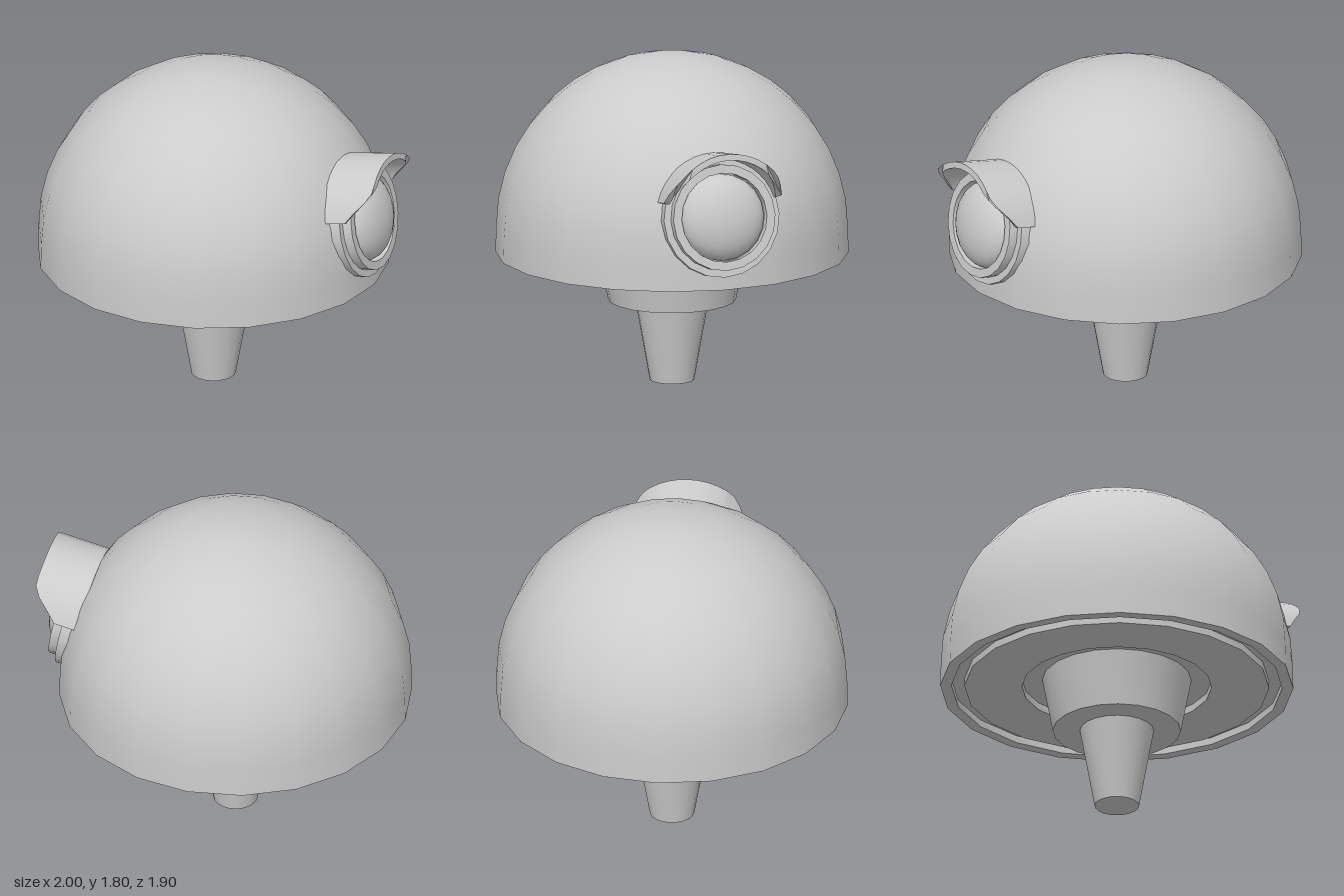
import * as THREE from 'three';
import { toCreasedNormals } from 'three/addons/utils/BufferGeometryUtils.js';

const material = new THREE.MeshStandardMaterial({ color: 0xcccccc });
const SIDES = 20;

function part(name, geometry) {
  const mesh = new THREE.Mesh(toCreasedNormals(geometry, 0.6), material);
  mesh.name = name;
  return mesh;
}

// Revolved part; the profile runs from the bottom, outward and up
function turned(name, points) {
  return part(name, new THREE.LatheGeometry(points.map(([r, y]) => new THREE.Vector2(r, y)), SIDES));
}

// Curved hood over the eye: an extruded arc whose front edge sweeps back at both ends
function hood() {
  const outer = 0.347, inner = 0.313, end = 1.28, steps = 16, back = -0.106;
  const points = [];
  for (let i = 0; i <= steps; i++) {
    const t = -end + (2 * end * i) / steps;
    points.push(new THREE.Vector2(outer * Math.sin(t), outer * Math.cos(t)));
  }
  for (let i = steps; i >= 0; i--) {
    const t = -end + (2 * end * i) / steps;
    points.push(new THREE.Vector2(inner * Math.sin(t), inner * Math.cos(t)));
  }
  const geometry = new THREE.ExtrudeGeometry(new THREE.Shape(points), { depth: 1, steps: 1, bevelEnabled: false });
  const pos = geometry.attributes.position;
  for (let i = 0; i < pos.count; i++) {
    const front = 0.01 + 0.17 * THREE.MathUtils.smoothstep(pos.getY(i), 0.07, 0.26);
    pos.setZ(i, back + pos.getZ(i) * (front - back));
  }
  const mesh = part('eyeHood', geometry);
  mesh.rotation.y = Math.PI / 2;
  return mesh;
}

function createEye() {
  const eye = new THREE.Group();
  eye.name = 'eye';

  const mount = turned('eyeMount', [[0, -0.14], [0.325, -0.14], [0.325, -0.02], [0, -0.02]]);
  const ring = turned('eyeRing', [[0.24, -0.03], [0.287, -0.03], [0.287, 0.031], [0.24, 0.031], [0.24, -0.03]]);

  // Shallow domed lens
  const lensProfile = [];
  for (let i = 0; i <= 8; i++) {
    const a = (i / 8) * Math.PI / 2;
    lensProfile.push([0.235 * Math.cos(a), -0.02 + 0.122 * Math.sin(a)]);
  }
  const lens = turned('eyeLens', lensProfile);

  for (const mesh of [mount, ring, lens]) {
    mesh.rotation.z = -Math.PI / 2;
    eye.add(mesh);
  }
  eye.add(hood());
  eye.position.set(0.92, 1.1, 0);
  eye.rotation.z = 0.19;
  return eye;
}

export function createModel() {
  const model = new THREE.Group();
  model.name = 'domeTurret';
  const body = new THREE.Group();
  body.name = 'body';

  // Dome shell with a hollow rim underneath
  const shell = [[0, 0.745], [0.89, 0.745], [0.89, 0.705], [0.95, 0.705], [0.946, 0.85]];
  for (let i = 1; i <= 10; i++) {
    const a = (i / 10) * Math.PI / 2;
    shell.push([i === 10 ? 0 : 0.946 * Math.cos(a), 0.85 + 0.946 * Math.sin(a)]);
  }
  body.add(turned('domeShell', shell));

  // Flat underside plate with a central opening
  body.add(turned('basePlate', [[0.51, 0.75], [0.51, 0.705], [0.82, 0.705], [0.82, 0.75]]));

  // Neck and tapered stem
  body.add(turned('neck', [[0, 0.445], [0.345, 0.445], [0.402, 0.75]]));
  body.add(turned('stem', [[0, 0], [0.12, 0], [0.2, 0.45]]));
  body.position.x = -0.05;

  const eye = createEye();
  eye.position.x -= 0.05;
  model.add(body, eye);
  return model;
}
